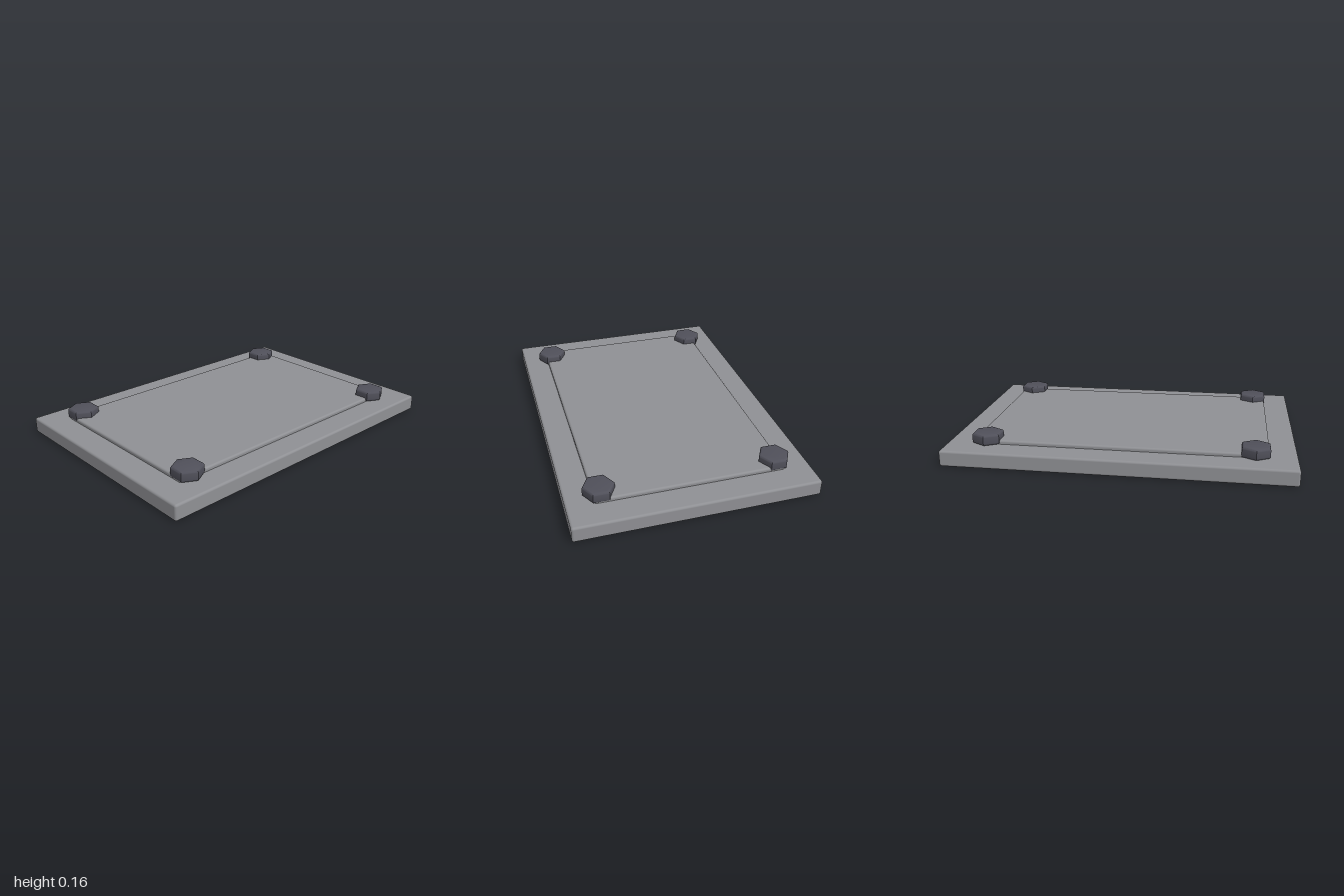
import * as THREE from 'three';
import { RoundedBoxGeometry } from 'three/addons/geometries/RoundedBoxGeometry.js';
import { toCreasedNormals } from 'three/addons/utils/BufferGeometryUtils.js';

const plateMaterial = new THREE.MeshStandardMaterial({ color: 0x8f9094 });
const boltMaterial = new THREE.MeshStandardMaterial({ color: 0x50505a });

// Slab with rounded edges between two heights
function slab(name, width, depth, bottom, top, radius) {
  const geometry = new RoundedBoxGeometry(width, top - bottom, depth, 3, radius);
  const mesh = new THREE.Mesh(geometry, plateMaterial);
  mesh.name = name;
  mesh.position.y = (bottom + top) / 2;
  return mesh;
}

// Hexagonal bolt head with softened rims, standing on y = 0, points along z
function boltGeometry() {
  const height = 0.064, bevel = 0.014;
  const hexagon = new THREE.Shape([
    [0, -0.089], [0.079, -0.045], [0.079, 0.045],
    [0, 0.089], [-0.079, 0.045], [-0.079, -0.045],
  ].map(([x, y]) => new THREE.Vector2(x, y)));
  const geometry = new THREE.ExtrudeGeometry(hexagon, {
    depth: height - 2 * bevel,
    bevelThickness: bevel,
    bevelSize: bevel,
    bevelOffset: -bevel,
    bevelSegments: 4,
  });
  geometry.translate(0, 0, bevel).rotateX(-Math.PI / 2);
  return toCreasedNormals(geometry, 0.6);
}

export function createModel() {
  const model = new THREE.Group();
  model.name = 'boltedPlate';

  // Base plate and the slightly raised panel on it
  model.add(slab('basePlate', 2, 1.38, 0, 0.094, 0.013));
  model.add(slab('raisedPanel', 1.69, 1.074, 0.06, 0.117, 0.012));

  // One bolt head at each panel corner
  const bolt = boltGeometry();
  for (const x of [-1, 1]) {
    for (const z of [-1, 1]) {
      const mesh = new THREE.Mesh(bolt, boltMaterial);
      mesh.name = (z > 0 ? 'front' : 'back') + (x > 0 ? 'Left' : 'Right') + 'Bolt';
      mesh.position.set(x * 0.768, 0.094, z * 0.5);
      model.add(mesh);
    }
  }
  return model;
}
